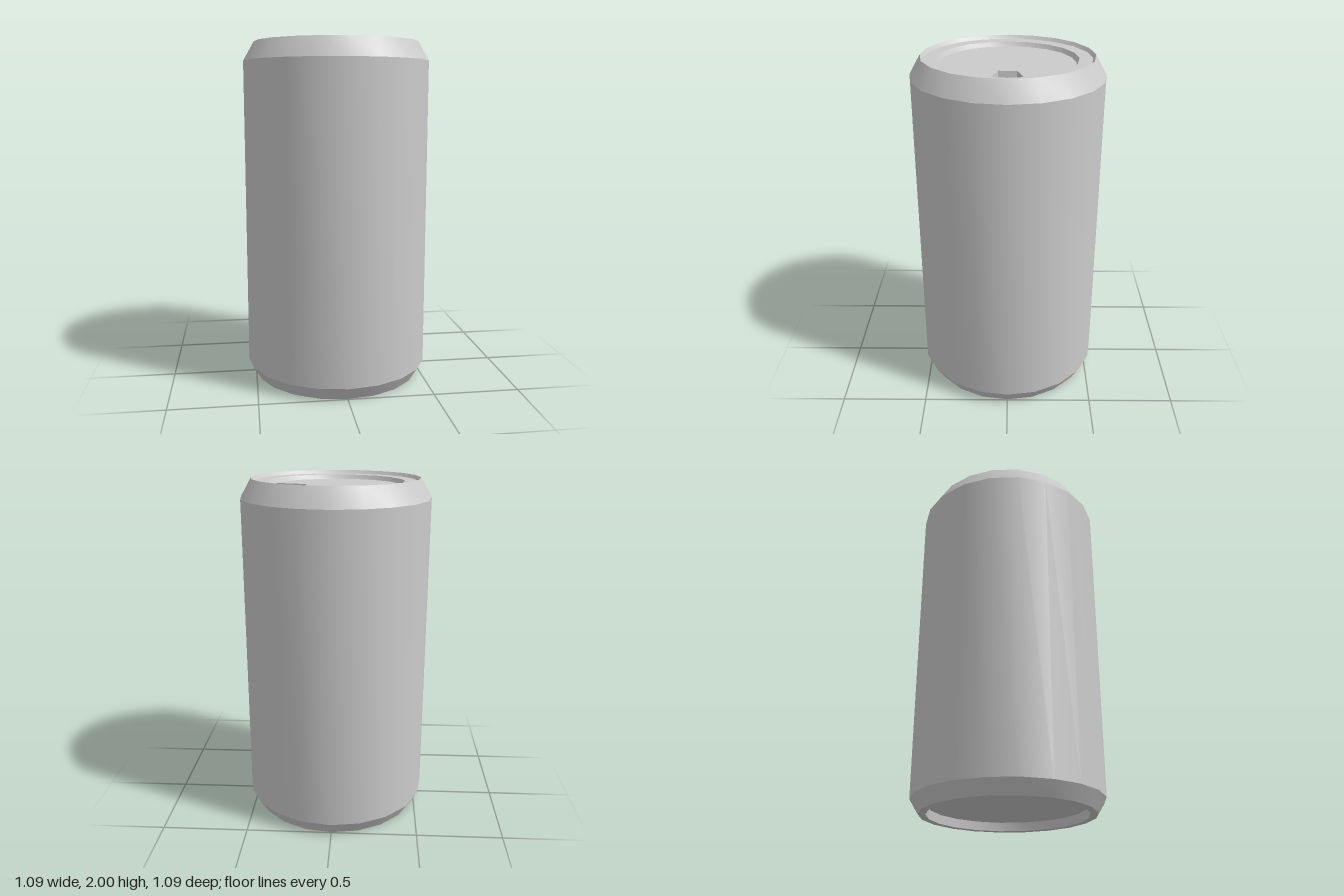
import * as THREE from 'three';
import { toCreasedNormals } from 'three/addons/utils/BufferGeometryUtils.js';

const SIDES = 20;
const PANEL_Y = 1.955, PANEL_R = 0.377, POCKET_DEPTH = 0.1;
const material = new THREE.MeshStandardMaterial({ color: 0xcccccc });

function addMesh(group, name, geometry) {
  const mesh = new THREE.Mesh(geometry, material);
  mesh.name = name;
  group.add(mesh);
}

// Horizontal face, looking up, from a shape drawn in x and -z
function flatFace(shape, y) {
  return new THREE.ShapeGeometry(shape).rotateX(-Math.PI / 2).translate(0, y, 0);
}

export function createModel() {
  const can = new THREE.Group();
  can.name = 'can';

  // Shell: recessed base, tapered foot, wall, shoulder, rim and lid ledge
  const profile = [
    [0, 0.05], [0.447, 0.05], [0.453, 0], [0.495, 0], [0.544, 0.08],
    [0.544, 1.89], [0.481, 2], [0.466, 1.98], [0.391, 1.98], [PANEL_R, PANEL_Y],
  ].map(([r, y]) => new THREE.Vector2(r, y));
  addMesh(can, 'shell', toCreasedNormals(new THREE.LatheGeometry(profile, SIDES), 0.4));

  // Drinking opening outline, counter-clockwise, and its slightly smaller floor
  const opening = [[0.169, -0.05], [0.347, -0.101], [0.362, 0], [0.347, 0.101], [0.169, 0.05]]
    .map(([x, y]) => new THREE.Vector2(x, y));
  const centre = new THREE.Vector2(0.27, 0);
  const floor = opening.map((p) => p.clone().lerp(centre, 0.04));

  // Lid panel with the opening cut out
  const disc = [];
  for (let i = 0; i < SIDES; i++) {
    const a = (i / SIDES) * Math.PI * 2;
    disc.push(new THREE.Vector2(Math.cos(a) * PANEL_R, Math.sin(a) * PANEL_R));
  }
  const panel = new THREE.Shape(disc);
  panel.holes.push(new THREE.Path(opening));
  addMesh(can, 'lidPanel', flatFace(panel, PANEL_Y));

  // Walls of the opening, facing inwards
  const positions = [];
  const floorY = PANEL_Y - POCKET_DEPTH;
  opening.forEach((p, i) => {
    const j = (i + 1) % opening.length;
    const a = [p.x, PANEL_Y, -p.y], b = [opening[j].x, PANEL_Y, -opening[j].y];
    const c = [floor[j].x, floorY, -floor[j].y], d = [floor[i].x, floorY, -floor[i].y];
    positions.push(...a, ...b, ...c, ...a, ...c, ...d);
  });
  const walls = new THREE.BufferGeometry();
  walls.setAttribute('position', new THREE.Float32BufferAttribute(positions, 3));
  walls.computeVertexNormals();
  addMesh(can, 'openingWalls', walls);
  addMesh(can, 'openingFloor', flatFace(new THREE.Shape(floor), floorY));

  return can;
}
